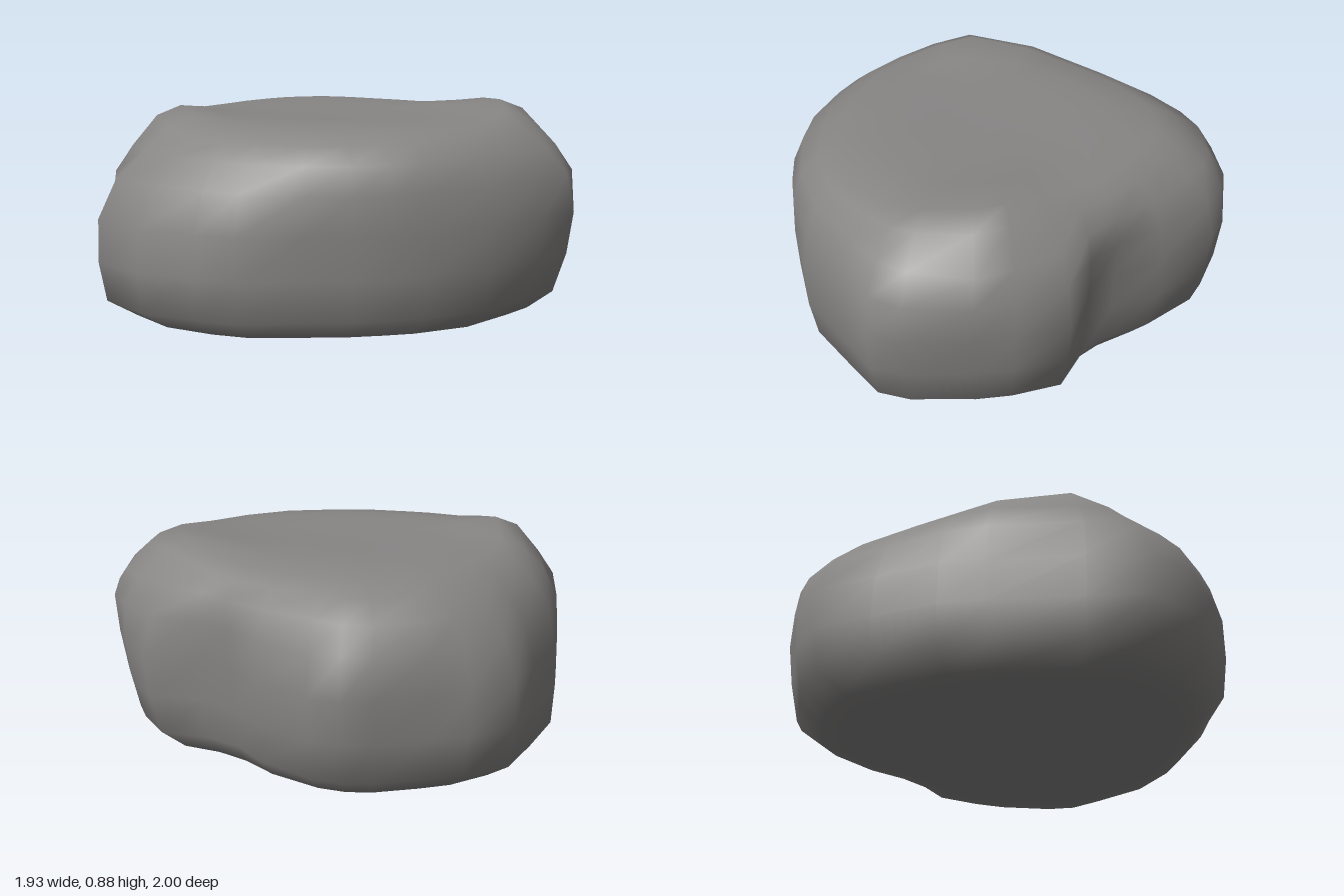
import * as THREE from 'three';

// Widest outline of the boulder as [x, z], running from the left side round the front.
const OUTLINE = [
  [0.96, 0.37], [0.87, 0.57], [0.78, 0.70], [0.61, 0.91], [0.49, 0.99], [0.30, 0.97], [0, 0.94],
  [-0.25, 0.81], [-0.37, 0.73], [-0.50, 0.62], [-0.62, 0.48], [-0.82, 0.29], [-0.88, 0.13],
  [-0.96, -0.12], [-0.93, -0.39], [-0.72, -0.54], [-0.40, -0.75], [-0.23, -0.85], [0.05, -0.93],
  [0.30, -1.0], [0.50, -0.92], [0.61, -0.82], [0.79, -0.69], [0.87, -0.60], [0.92, -0.48],
  [0.91, -0.20], [0.84, 0.0], [0.86, 0.17],
];

// Rings from base to top:
// [height, scale on the steep side, scale on the rounded side, rim lift, corner swell, softening].
const RINGS = [
  [0.005, 0.45, 0.45, 0, 0, 0.4], [0.01, 0.78, 0.78, 0, 0, 0.4], [0.02, 0.865, 0.865, 0, 0, 0.4],
  [0.10, 0.95, 0.98, 0, 0, 0.15], [0.27, 0.99, 1, 0, 0, 0], [0.45, 1, 0.985, 0, 0.02, 0],
  [0.61, 0.97, 0.92, 0, 0.06, 0.4], [0.72, 0.91, 0.825, 0, 0.07, 0.85],
  [0.785, 0.83, 0.735, 0.06, 0.04, 1], [0.825, 0.75, 0.64, 0.06, 0.02, 1],
  [0.842, 0.57, 0.48, 0.015, 0, 1], [0.842, 0.38, 0.34, 0, 0, 1], [0.84, 0.18, 0.16, 0, 0, 1],
];

function boulderGeometry() {
  const n = OUTLINE.length;
  const radii = OUTLINE.map(([x, z]) => Math.hypot(x, z));
  const smoothRadii = radii.map((_, i) =>
    [-2, -1, 0, 1, 2].reduce((sum, d) => sum + radii[(i + d + n) % n], 0) / 5);

  const positions = [];
  for (const [y, steep, round, lift, swell, soften] of RINGS) {
    OUTLINE.forEach(([x, z], i) => {
      // The front left is steep, the back right rounded; the rim swells at both ends.
      const lean = (0.76 * x + 0.65 * z) / radii[i];
      const scale = THREE.MathUtils.lerp(round, steep, THREE.MathUtils.smoothstep(lean, -0.8, 0.8));
      // The diagonal corners stand fuller; small corners and the side notch soften.
      const corner = 1 + swell * (2 * x * z / radii[i] ** 2) ** 2;
      const k = scale * corner * THREE.MathUtils.lerp(1, smoothRadii[i] / radii[i], soften);
      positions.push(x * k, y + lift * lean ** 12, z * k);
    });
  }
  const base = RINGS.length * n;
  positions.push(0, 0, 0, 0, 0.84, 0);

  const index = [];
  for (let i = 0; i < n; i++) {
    const j = (i + 1) % n;
    for (let r = 0; r < RINGS.length - 1; r++) {
      const a = r * n + i, b = r * n + j;
      index.push(a, a + n, b, b, a + n, b + n);
    }
    // Underside and centre of the shallow dish on top
    index.push(base, i, j);
    index.push(base + 1, base - n + j, base - n + i);
  }

  const geometry = new THREE.BufferGeometry();
  geometry.setAttribute('position', new THREE.Float32BufferAttribute(positions, 3));
  geometry.setIndex(index);
  geometry.computeVertexNormals();
  return geometry;
}

export function createModel() {
  const stone = new THREE.MeshStandardMaterial({ color: 0x888685 });
  stone.name = 'grey stone';
  const boulder = new THREE.Mesh(boulderGeometry(), stone);
  boulder.name = 'boulder';
  const group = new THREE.Group();
  group.name = 'rock';
  group.add(boulder);
  return group;
}
